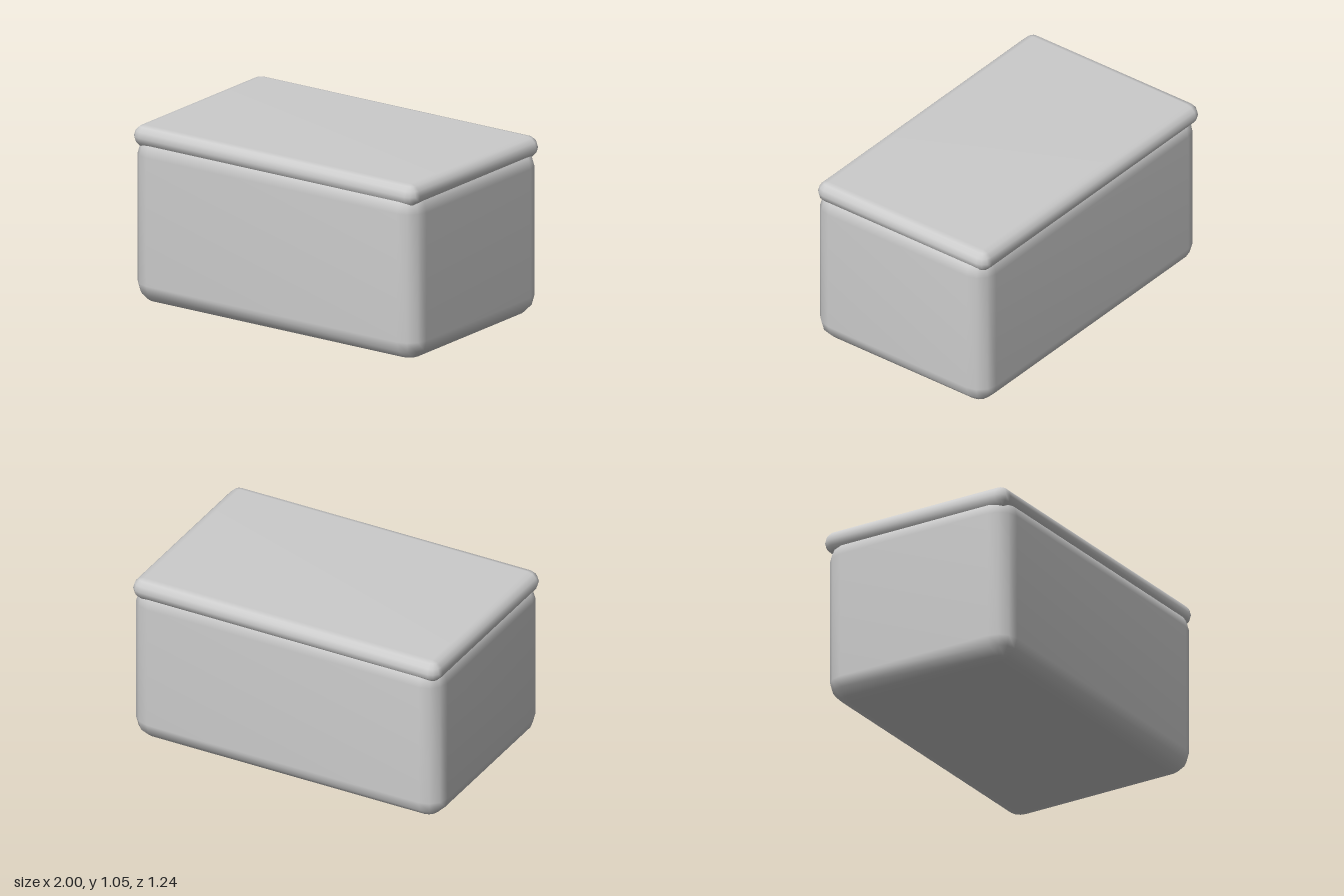
import * as THREE from 'three';
import { mergeVertices } from 'three/addons/utils/BufferGeometryUtils.js';

const STEPS = 3; // segments in each rounded edge

// Box with rounded edges: a sphere split into octants that are pushed out to the corners
function roundedBox(w, h, d, r) {
  const cx = w / 2 - r, cy = h / 2 - r, cz = d / 2 - r;
  const cols = 4 * (STEPS + 1), rows = 2 * (STEPS + 1);
  const quarter = Math.PI / 2;
  const positions = [], index = [];

  for (let i = 0; i < rows; i++) {
    const half = i <= STEPS ? 0 : 1;
    const theta = (half + (i % (STEPS + 1)) / STEPS) * quarter;
    for (let j = 0; j < cols; j++) {
      const q = Math.floor(j / (STEPS + 1));
      const phi = (q + (j % (STEPS + 1)) / STEPS) * quarter;
      const sx = q === 0 || q === 3 ? 1 : -1;
      const sz = q < 2 ? 1 : -1;
      positions.push(
        sx * cx + r * Math.sin(theta) * Math.cos(phi),
        (half ? -1 : 1) * cy + r * Math.cos(theta),
        sz * cz + r * Math.sin(theta) * Math.sin(phi)
      );
    }
  }

  // Skin between neighbouring rows; pole rows collapse to corner points
  for (let i = 0; i < rows - 1; i++) {
    for (let j = 0; j < cols; j++) {
      const k = (j + 1) % cols;
      const a = i * cols + j, b = i * cols + k;
      const c = a + cols, e = b + cols;
      const corner = j % (STEPS + 1) !== STEPS;
      if (!(i === 0 && corner)) index.push(a, b, c);
      if (!(i === rows - 2 && corner)) index.push(b, e, c);
    }
  }

  // Flat top and bottom
  const s = STEPS + 1, last = (rows - 1) * cols;
  index.push(0, 2 * s, s, 0, 3 * s, 2 * s);
  index.push(last, last + s, last + 2 * s, last, last + 2 * s, last + 3 * s);

  const raw = new THREE.BufferGeometry();
  raw.setAttribute('position', new THREE.Float32BufferAttribute(positions, 3));
  raw.setIndex(index);
  const geometry = mergeVertices(raw, 1e-5);
  geometry.computeVertexNormals();
  return geometry;
}

export function createModel() {
  const group = new THREE.Group();
  group.name = 'storageBox';
  const material = new THREE.MeshStandardMaterial({ color: 0xcccccc });

  // Deep body with wide rounded edges
  const body = new THREE.Mesh(roundedBox(1.995, 1.0, 1.235, 0.12), material);
  body.name = 'body';
  body.position.set(0.002, 0.5, 0.004);
  group.add(body);

  // Thin lid with fully rounded rim, resting over the body
  const lid = new THREE.Mesh(roundedBox(1.99, 0.13, 1.235, 0.065), material);
  lid.name = 'lid';
  lid.position.set(-0.004, 0.985, -0.003);
  group.add(lid);

  return group;
}
